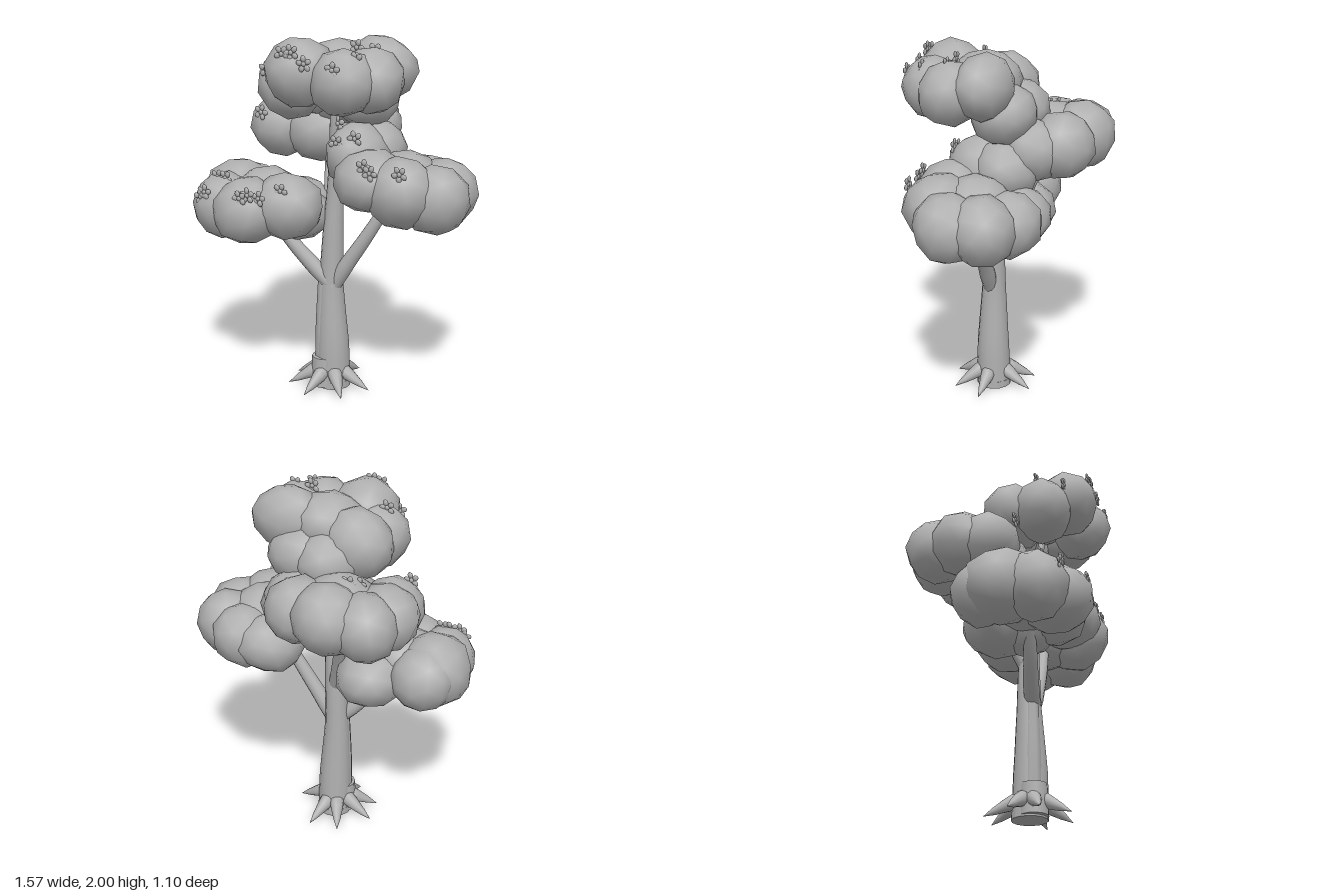
import * as THREE from 'three';
import { mergeVertices } from 'three/addons/utils/BufferGeometryUtils.js';

const clay = new THREE.MeshStandardMaterial({ color: 0xb0b0b0 });
clay.name = 'clay grey';

const V = (p) => new THREE.Vector3(...p);

function addMesh(parent, name, geometry) {
  const mesh = new THREE.Mesh(geometry, clay);
  mesh.name = name;
  parent.add(mesh);
  return mesh;
}

// Smooth low-poly ball, slightly irregular, of the given half sizes
function lump(seed, w, h, d) {
  let g = new THREE.IcosahedronGeometry(1, 1);
  g.deleteAttribute('normal');
  g.deleteAttribute('uv');
  g = mergeVertices(g, 1e-3);
  const p = g.attributes.position;
  const v = new THREE.Vector3();
  for (let i = 0; i < p.count; i++) {
    v.fromBufferAttribute(p, i).multiplyScalar(1 + 0.04 * Math.sin(i * 12.9 + seed * 4.7));
    p.setXYZ(i, v.x, v.y, v.z);
  }
  g.rotateX(seed * 1.3);
  g.rotateY(seed * 2.1);
  g.scale(w, h, d);
  g.computeVertexNormals();
  return g;
}

// Tapered round limb along a curve; points are [x, y, z, radius]
function limb(points, sides = 12, rings = 14) {
  const curve = new THREE.CatmullRomCurve3(points.map(([x, y, z]) => V([x, y, z])));
  const g = new THREE.TubeGeometry(curve, rings, 1, sides);
  const pos = g.attributes.position;
  const c = new THREE.Vector3(), v = new THREE.Vector3();
  for (let i = 0; i <= rings; i++) {
    curve.getPointAt(i / rings, c);
    const t = curve.getUtoTmapping(i / rings) * (points.length - 1);
    const k = Math.min(Math.floor(t), points.length - 2);
    const r = THREE.MathUtils.lerp(points[k][3], points[k + 1][3], t - k);
    for (let j = 0; j <= sides; j++) {
      const n = i * (sides + 1) + j;
      v.fromBufferAttribute(pos, n).sub(c).multiplyScalar(r).add(c);
      pos.setXYZ(n, v.x, v.y, v.z);
    }
  }
  g.computeVertexNormals();
  // Weld the normals along the tube seam
  const nor = g.attributes.normal;
  for (let i = 0; i <= rings; i++) {
    const a = i * (sides + 1), b = a + sides;
    v.fromBufferAttribute(nor, a).add(c.fromBufferAttribute(nor, b)).normalize();
    nor.setXYZ(a, v.x, v.y, v.z);
    nor.setXYZ(b, v.x, v.y, v.z);
  }
  return g;
}

// Each foliage ball: [x, y, z, width radius, height radius, depth radius if different]
const clusters = {
  lowFoliage: [
    [-0.58, 1.06, 0.14, 0.21, 0.205], [-0.38, 1.05, 0.355, 0.2, 0.19], [-0.56, 1.04, 0.31, 0.18, 0.19],
    [-0.18, 1.08, 0.27, 0.2, 0.18], [-0.56, 1.05, 0.03, 0.18, 0.18], [-0.27, 1.01, 0.0, 0.2, 0.17],
    [-0.38, 1.08, 0.16, 0.21, 0.17], [-0.2, 1.0, 0.12, 0.17, 0.15],
  ],
  sideFoliage: [
    [0.28, 1.26, 0.2, 0.2, 0.175], [0.46, 1.22, 0.19, 0.2, 0.19], [0.6, 1.18, 0.09, 0.19, 0.185],
    [0.59, 1.18, -0.08, 0.18, 0.185], [0.43, 1.17, -0.16, 0.19, 0.18], [0.27, 1.16, -0.16, 0.19, 0.165],
    [0.4, 1.22, 0.02, 0.21, 0.19],
  ],
  middleFoliage: [[0.145, 1.36, 0.09, 0.18, 0.18], [0.18, 1.37, -0.06, 0.18, 0.17]],
  backFoliage: [
    [-0.2, 1.5, -0.37, 0.19, 0.19], [-0.38, 1.47, -0.32, 0.18, 0.18], [-0.41, 1.46, -0.15, 0.19, 0.18],
    [-0.39, 1.45, -0.03, 0.18, 0.18], [0.0, 1.48, -0.31, 0.19, 0.18], [0.08, 1.46, -0.18, 0.18, 0.17],
    [-0.15, 1.44, -0.07, 0.21, 0.18], [-0.18, 1.5, -0.2, 0.21, 0.17],
  ],
  topFoliage: [
    [-0.15, 1.74, 0.04, 0.21, 0.2, 0.17], [0.25, 1.82, 0.03, 0.21, 0.18, 0.155], [-0.06, 1.82, 0.32, 0.19, 0.18],
    [0.19, 1.785, 0.32, 0.18, 0.175], [-0.18, 1.73, 0.22, 0.18, 0.18], [0.13, 1.66, -0.04, 0.2, 0.16, 0.18],
    [0.28, 1.79, 0.2, 0.18, 0.175], [0.04, 1.82, 0.1, 0.2, 0.16], [-0.03, 1.66, -0.05, 0.19, 0.17, 0.18],
  ],
};

// Flower centres
const flowers = [
  [-0.42, 1.55, 0.15], [-0.41, 1.5, 0.11], [-0.235, 1.64, -0.22], [-0.27, 1.62, -0.17],
  [-0.24, 1.83, 0.37], [-0.24, 1.9, 0.21], [-0.085, 1.93, 0.465], [-0.03, 1.94, 0.465], [0.05, 1.89, 0.475],
  [0.21, 1.87, 0.475], [0.2, 1.95, 0.2], [0.31, 1.94, 0.21], [0.28, 1.91, 0.36],
  [-0.615, 1.12, 0.465], [-0.59, 1.15, 0.465], [-0.58, 1.21, 0.35], [-0.53, 1.21, 0.35],
  [-0.33, 1.16, 0.515], [-0.285, 1.18, 0.505], [-0.24, 1.16, 0.47], [-0.14, 1.2, 0.41],
  [0.1, 1.45, 0.24], [0.2, 1.48, 0.22], [0.05, 1.53, 0.13],
  [0.32, 1.37, 0.35], [0.36, 1.345, 0.36], [0.52, 1.355, 0.345],
];

// Root directions around the trunk in degrees, from +x towards +z
const rootAngles = [2, 48, 100, 148, 188, 242, 283];

export function createModel() {
  const tree = new THREE.Group();
  tree.name = 'tree';

  // Trunk and branches
  addMesh(tree, 'trunk', limb([
    [-0.01, 0.005, 0.075, 0.098], [-0.01, 0.25, 0.08, 0.092], [-0.02, 0.6, 0.078, 0.068],
    [-0.01, 0.9, 0.075, 0.058], [0.01, 1.25, 0.08, 0.042], [0.035, 1.7, 0.15, 0.015],
  ], 14, 20));
  addMesh(tree, 'leftBranch', limb([
    [-0.01, 0.57, 0.09, 0.035], [0.06, 0.7, 0.085, 0.045], [0.19, 0.9, 0.07, 0.038], [0.34, 1.15, 0.04, 0.03],
  ]));
  addMesh(tree, 'rightBranch', limb([
    [0, 0.6, 0.1, 0.04], [-0.1, 0.7, 0.12, 0.045], [-0.22, 0.84, 0.16, 0.038], [-0.36, 1.03, 0.2, 0.03],
  ]));
  addMesh(tree, 'backBranch', limb([
    [-0.02, 0.86, 0.06, 0.04], [-0.08, 1.04, -0.02, 0.038], [-0.14, 1.24, -0.12, 0.028], [-0.2, 1.42, -0.2, 0.022],
  ]));

  // Bark ridge, base collar and underside
  addMesh(tree, 'barkRidge', limb([[-0.055, 0.02, 0.11, 0.05], [-0.055, 0.35, 0.11, 0.045], [-0.05, 0.66, 0.105, 0.035]], 8));
  const collar = addMesh(tree, 'baseCollar', new THREE.CylinderGeometry(0.073, 0.08, 0.17, 12));
  collar.position.set(-0.045, 0.095, 0.11);
  const foot = addMesh(tree, 'trunkBase', new THREE.CylinderGeometry(0.098, 0.098, 0.04, 14));
  foot.position.set(-0.01, 0.02, 0.075);

  // Root spikes with rounded shoulders
  const rootProfile = [[0, -0.04], [0.03, -0.028], [0.042, 0], [0.037, 0.04], [0.02, 0.12], [0, 0.185]]
    .map(([r, y]) => new THREE.Vector2(r, y));
  const rootGeo = new THREE.LatheGeometry(rootProfile, 10);
  for (const degrees of rootAngles) {
    const a = THREE.MathUtils.degToRad(degrees);
    const root = addMesh(tree, 'root', rootGeo);
    root.position.set(-0.02 + Math.cos(a) * 0.08, 0.095, 0.08 + Math.sin(a) * 0.08);
    root.quaternion.setFromUnitVectors(V([0, 1, 0]), V([Math.cos(a), -0.52, Math.sin(a)]).normalize());
  }

  // Foliage clusters
  let seed = 1;
  for (const [name, balls] of Object.entries(clusters)) {
    const group = new THREE.Group();
    group.name = name;
    for (const [x, y, z, w, h, d = w] of balls) {
      addMesh(group, 'foliageBall', lump(seed++, w, h, d)).position.set(x, y, z);
    }
    tree.add(group);
  }

  // Small front-facing blossoms: five petals around a centre
  const petalGeo = new THREE.SphereGeometry(1, 8, 6);
  flowers.forEach((p, n) => {
    const flower = new THREE.Group();
    flower.name = 'flower';
    flower.position.set(...p);
    for (let i = 0; i < 5; i++) {
      const a = i * Math.PI * 0.4 + n;
      const petal = addMesh(flower, 'petal', petalGeo);
      petal.position.set(Math.cos(a) * 0.027, Math.sin(a) * 0.027, 0);
      petal.rotation.z = a;
      petal.scale.set(0.018, 0.015, 0.008);
    }
    addMesh(flower, 'flowerCentre', petalGeo).scale.set(0.013, 0.013, 0.011);
    tree.add(flower);
  });
  return tree;
}
